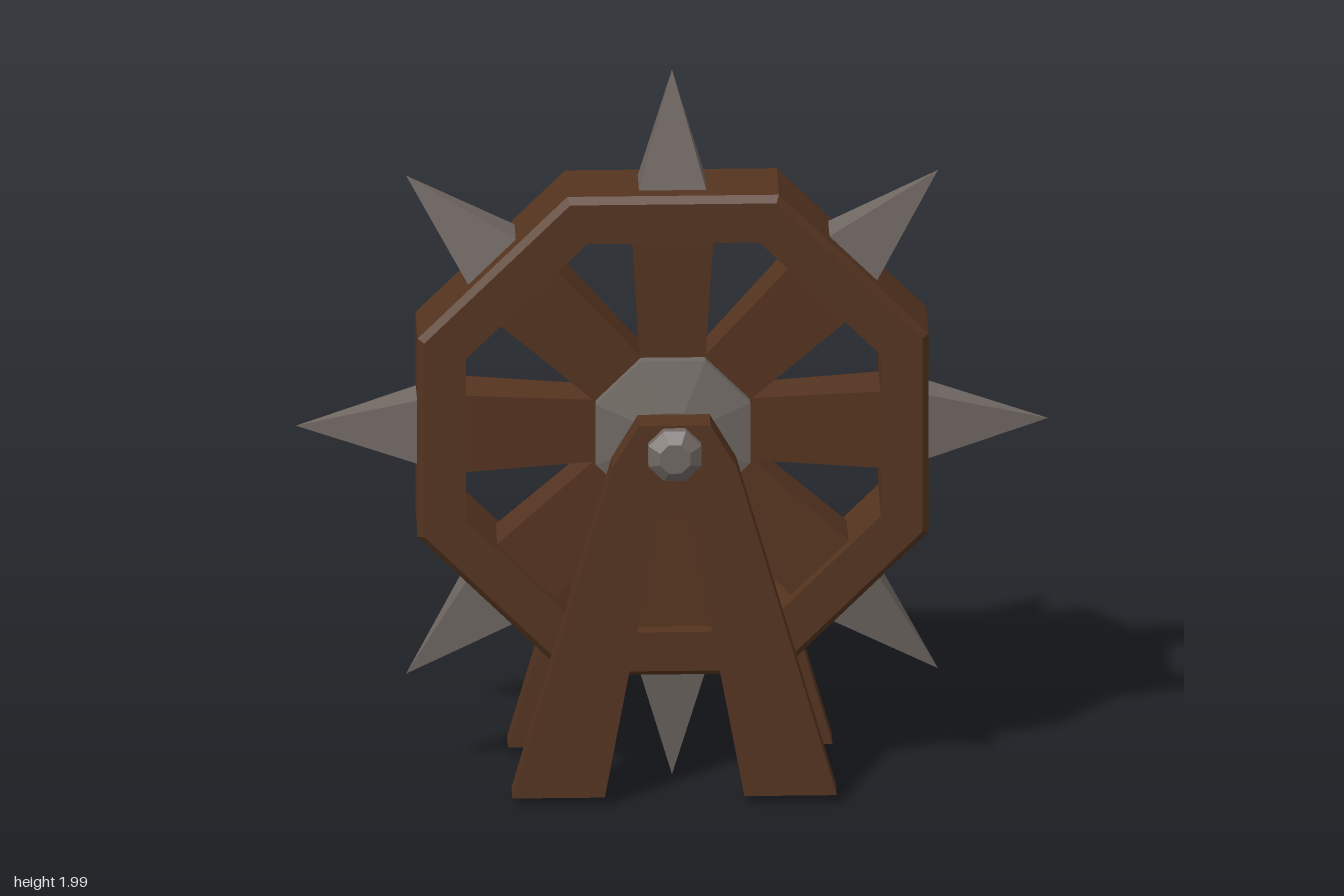
import * as THREE from 'three';

const wood = new THREE.MeshStandardMaterial({ color: 0x553420 });
const iron = new THREE.MeshStandardMaterial({ color: 0x706863 });
wood.name = 'darkWood';
iron.name = 'greyIron';

// Faceted mesh: every face gets its own normal
function part(name, geometry, material, parent) {
  const g = geometry.index ? geometry.toNonIndexed() : geometry;
  g.computeVertexNormals();
  const mesh = new THREE.Mesh(g, material);
  mesh.name = name;
  parent.add(mesh);
  return mesh;
}

// Eight-sided turned shape around the z axis; radii are measured to the flats
function octagonal(profile) {
  const pts = profile.map(([r, z]) => new THREE.Vector2(r / Math.cos(Math.PI / 8), z));
  return new THREE.LatheGeometry(pts, 8, Math.PI / 8).rotateX(Math.PI / 2);
}

// Four-sided tapered bar standing on the y axis from y0 to y1
function taper(bottom, top, depthRatio, y0, y1) {
  return new THREE.CylinderGeometry(top * Math.SQRT2, bottom * Math.SQRT2, y1 - y0, 4)
    .rotateY(Math.PI / 4)
    .scale(1, 1, depthRatio)
    .translate(0, (y0 + y1) / 2, 0);
}

export function createModel() {
  const model = new THREE.Group();
  model.name = 'spikedWheel';

  const wheel = new THREE.Group();
  wheel.name = 'wheel';
  wheel.position.y = 1.003;
  model.add(wheel);

  // Octagonal rim with chamfered outer edges
  part('rim', octagonal([
    [0.55, -0.12], [0.66, -0.12], [0.677, -0.1], [0.677, 0.1],
    [0.66, 0.12], [0.55, 0.12], [0.55, -0.12],
  ]), wood, wheel);

  // Hub with shallow domed faces
  part('hub', octagonal([
    [0, -0.12], [0.07, -0.12], [0.205, -0.09], [0.205, 0.09], [0.07, 0.12], [0, 0.12],
  ]), iron, wheel);

  // Axle with bevelled ends
  part('axle', octagonal([
    [0, -0.285], [0.04, -0.285], [0.07, -0.26], [0.07, -0.235], [0.06, -0.225],
    [0.06, 0.225], [0.07, 0.235], [0.07, 0.26], [0.04, 0.285], [0, 0.285],
  ]), iron, wheel);

  // Spokes and spikes, one pair per side of the rim
  for (let i = 0; i < 8; i++) {
    const angle = i * Math.PI / 4;
    part('spoke', taper(0.082, 0.11, 0.7, 0.12, 0.58), wood, wheel).rotation.z = angle;
    part('spike', taper(0.094, 0, 0.65, 0.66, 0.997), iron, wheel).rotation.z = angle;
  }

  // A-frame stands in front of and behind the wheel
  const outline = new THREE.Shape([
    [-0.43, 0.03], [-0.185, 0.03], [-0.04, 0.82], [0.04, 0.82], [0.185, 0.03], [0.43, 0.03],
    [0.165, 0.96], [0.095, 1.08], [-0.095, 1.08], [-0.165, 0.96],
  ].map(([x, y]) => new THREE.Vector2(x, y)));
  for (const [name, z] of [['frontStand', 0.15], ['backStand', -0.235]]) {
    const g = new THREE.ExtrudeGeometry(outline, { depth: 0.085, bevelEnabled: false });
    part(name, g, wood, model).position.z = z;
  }
  return model;
}
